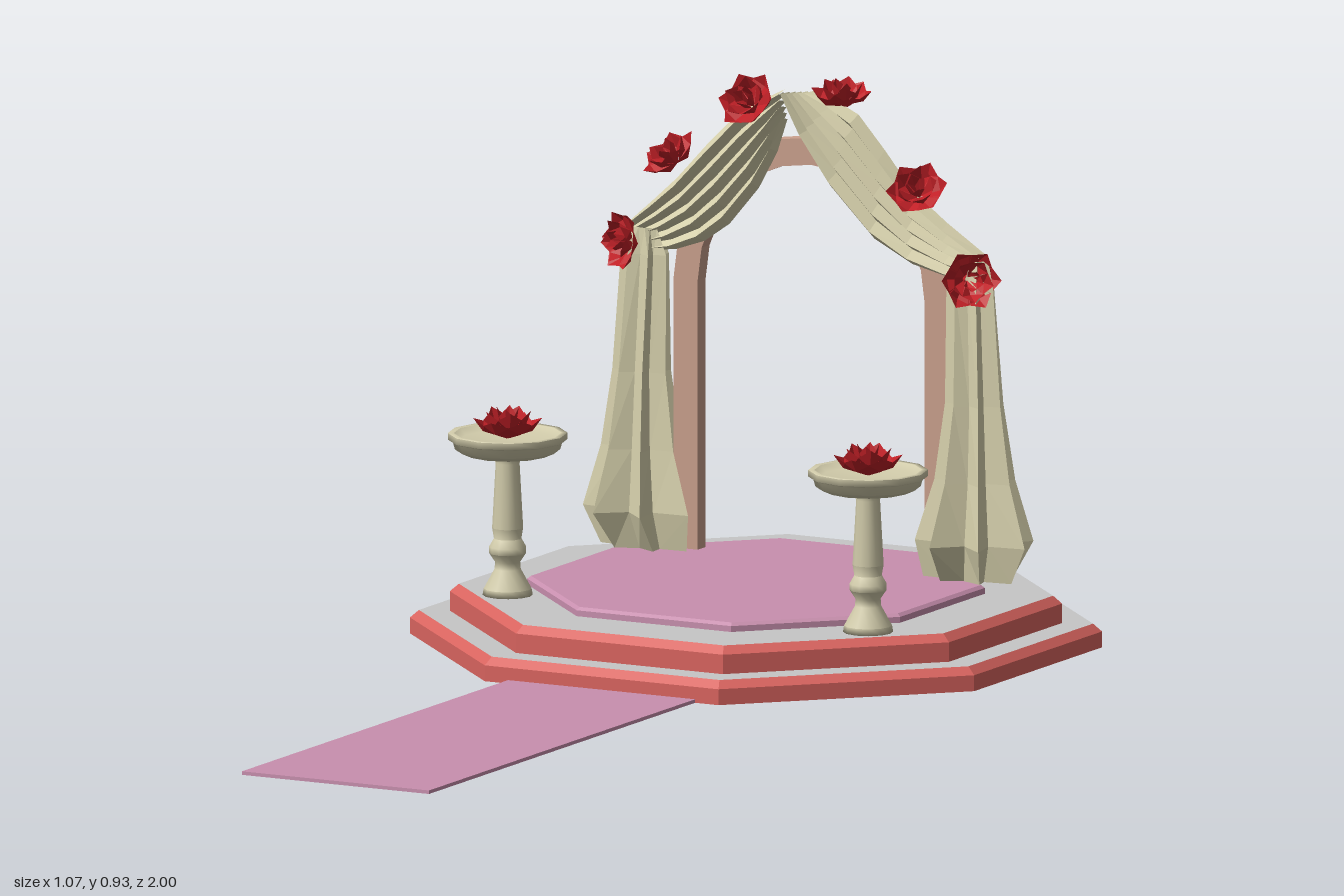
import * as THREE from 'three';

const mat = (name, color, flat = true) =>
  Object.assign(new THREE.MeshStandardMaterial({ color, flatShading: flat, side: THREE.DoubleSide }), { name });

// Grid surface: rows of [x, y, z] points, optionally closed around each row
function loft(rows, closed) {
  const n = rows[0].length, index = [];
  for (let i = 0; i < rows.length - 1; i++)
    for (let j = 0; j < (closed ? n : n - 1); j++) {
      const a = i * n + j, b = i * n + (j + 1) % n;
      index.push(a, a + n, b, b, a + n, b + n);
    }
  const g = new THREE.BufferGeometry();
  g.setAttribute('position', new THREE.Float32BufferAttribute(rows.flat(2), 3));
  g.setIndex(index);
  g.computeVertexNormals();
  return g;
}

const lathe = (pts, sides, start = 0) =>
  new THREE.LatheGeometry(pts.map(p => new THREE.Vector2(...p)), sides, start);

// Octagon given by its apothem, flat sides toward the axes
const octagon = pts => lathe(pts.map(([r, y]) => [r / Math.cos(Math.PI / 8), y]), 8, Math.PI / 8);

// Open blossom: three rings of pointed, creased petals
function roseGeometry() {
  const pos = [], v = new THREE.Vector3(), up = new THREE.Vector3(0, 1, 0);
  const rings = [[6, 0.055, 0.024, 0.030, 0], [5, 0.038, 0.019, 0.042, 0.5], [4, 0.018, 0.012, 0.046, 0.2]];
  for (const [count, reach, half, high, turn] of rings)
    for (let i = 0; i < count; i++) {
      const angle = (i + turn) / count * Math.PI * 2;
      const base = [0, 0, 0.003], mid = [0, high * 0.35, reach * 0.72], tip = [0, high, reach];
      const l = [-half, high * 0.72, reach * 0.68], r = [half, high * 0.72, reach * 0.68];
      for (const p of [base, mid, l, base, r, mid, mid, tip, l, mid, r, tip])
        pos.push(...v.set(...p).applyAxisAngle(up, angle).toArray());
    }
  const g = new THREE.BufferGeometry();
  g.setAttribute('position', new THREE.Float32BufferAttribute(pos, 3));
  g.computeVertexNormals();
  return g;
}

export function createModel() {
  const root = new THREE.Group();
  root.name = 'ceremonyArch';
  const red = mat('coral step', 0xd9645f), grey = mat('grey stone', 0xc6c6c6);
  const pink = mat('pink carpet', 0xc88fae), wood = mat('tan wood', 0xc99f8c);
  const cloth = mat('cream cloth', 0xd6d0ac), rose = mat('rose red', 0xc01f26);
  const stone = mat('cream stone', 0xd2ccab, false);

  const add = (name, geo, material, x = 0, y = 0, z = 0) => {
    const m = new THREE.Mesh(geo, material);
    m.name = name;
    m.position.set(x, y, z);
    root.add(m);
    return m;
  };

  // Two hollow octagonal steps with chamfered coral sides and grey tops
  const cz = -0.463;
  add('lowerStepSide', octagon([[0.537, 0], [0.537, 0.027], [0.523, 0.04]]), red, 0, 0, cz);
  add('lowerStepTop', octagon([[0.523, 0.04], [0.475, 0.04]]), grey, 0, 0, cz);
  add('upperStepSide', octagon([[0.475, 0.04], [0.475, 0.073], [0.461, 0.086]]), red, 0, 0, cz);
  add('upperStepTop', octagon([[0.461, 0.086], [0, 0.086]]), grey, 0, 0, cz);

  // Carpets
  add('platformCarpet', octagon([[0.355, 0.087], [0.355, 0.097], [0.349, 0.102], [0, 0.102]]), pink, 0, 0, cz);
  add('aisleCarpet', new THREE.BoxGeometry(0.356, 0.006, 1.3), pink, 0, 0.003, 0.35);

  // Round-topped wooden arch
  const arch = new THREE.Shape();
  const spring = 0.56, outer = 0.262, inner = 0.216, steps = 12;
  arch.moveTo(outer, 0.1);
  for (let i = 0; i <= steps; i++) {
    const a = i / steps * Math.PI;
    arch.lineTo(outer * Math.cos(a), spring + outer * Math.sin(a));
  }
  arch.lineTo(-outer, 0.1);
  arch.lineTo(-inner, 0.1);
  for (let i = steps; i >= 0; i--) {
    const a = i / steps * Math.PI;
    arch.lineTo(inner * Math.cos(a), spring + inner * Math.sin(a));
  }
  arch.lineTo(inner, 0.1);
  add('woodenArch', new THREE.ExtrudeGeometry(arch, { depth: 0.028, bevelEnabled: false }), wood, 0, 0, -0.683);

  // Swags: pleated sheets between an upper and a lower edge
  const curve = pts => new THREE.CatmullRomCurve3(pts.map(([x, y]) => new THREE.Vector3(x, y, 0)));
  const swag = (name, top, bottom) => {
    const a = curve(top), b = curve(bottom), rows = [];
    for (let i = 0; i <= 6; i++) {
      const p = a.getPoint(i / 6), q = b.getPoint(i / 6), row = [];
      for (let j = 0; j <= 10; j++) {
        const t = p.clone().lerp(q, j / 10);
        row.push([t.x, t.y, -0.645 + (j % 2 ? 0.012 : -0.01)]);
      }
      rows.push(row);
    }
    add(name, loft(rows, false), cloth);
  };
  swag('rightSwag',
    [[-0.05, 0.9], [-0.14, 0.85], [-0.256, 0.73], [-0.345, 0.65]],
    [[-0.045, 0.85], [-0.077, 0.764], [-0.155, 0.662], [-0.228, 0.617], [-0.315, 0.602]]);
  swag('leftSwag',
    [[0.004, 0.902], [0.09, 0.87], [0.193, 0.75], [0.33, 0.655]],
    [[-0.053, 0.895], [0.004, 0.787], [0.12, 0.662], [0.23, 0.614], [0.335, 0.605]]);

  // Side curtains: star-shaped folds that flare and tuck in at the hem
  // Each ring: height, centre x, half width, half depth, fold depth
  const rings = [[0.645, 0.315, 0.03, 0.016, 0.8], [0.6, 0.31, 0.045, 0.026, 0.6], [0.4, 0.317, 0.053, 0.04, 0.55],
    [0.27, 0.318, 0.072, 0.06, 0.5], [0.165, 0.317, 0.105, 0.09, 0.45], [0.102, 0.307, 0.085, 0.045, 0.5]];
  for (const s of [-1, 1]) {
    const rows = rings.map(([y, x, w, d, fold]) => Array.from({ length: 14 }, (_, k) => {
      const a = (k + 0.4) / 14 * Math.PI * 2, r = k % 2 ? fold : 1;
      return [s * (x + w * r * Math.cos(a)), y, -0.645 + d * r * Math.sin(a)];
    }));
    add(s > 0 ? 'leftCurtain' : 'rightCurtain', loft(rows, true), cloth);
  }

  // Turned pedestals with shallow bowls
  const profile = [[0, 0.086], [0.042, 0.086], [0.04, 0.097], [0.022, 0.13], [0.021, 0.142], [0.031, 0.157],
    [0.031, 0.168], [0.023, 0.182], [0.026, 0.2], [0.02, 0.31], [0.026, 0.325], [0.07, 0.325], [0.088, 0.333],
    [0.092, 0.347], [0.1, 0.35], [0.1, 0.361], [0.09, 0.361], [0.08, 0.35], [0, 0.348]];
  // Split into pieces at the hard edges so they stay sharp
  const pieces = [[0, 2], [1, 5], [4, 7], [6, 8], [7, 10], [10, 12], [11, 14], [13, 15], [14, 16], [15, 18]];
  const roseGeo = roseGeometry();
  for (const x of [-0.343, 0.343]) {
    for (const [a, b] of pieces) add('pedestal', lathe(profile.slice(a, b + 1), 12), stone, x, 0, -0.226);
    add('bowlRose', roseGeo, rose, x, 0.352, -0.226).scale.set(1.05, 1.15, 1.05);
  }

  // Roses along the swags: position and facing direction
  const garland = [[-0.33, 0.62, -0.635, -0.5, 0.1, 0.8], [-0.245, 0.76, -0.635, -0.4, 0.9, 0.6],
    [-0.1, 0.87, -0.635, -0.1, 0.6, 0.8], [0.065, 0.885, -0.643, 0.05, 1, 0.15],
    [0.215, 0.745, -0.637, 0.2, 0.7, 0.7], [0.31, 0.615, -0.63, 0.7, 0.05, 0.7]];
  garland.forEach(([x, y, z, ...d], i) => {
    const m = add('swagRose', roseGeo, rose, x, y, z);
    m.quaternion.setFromUnitVectors(new THREE.Vector3(0, 1, 0), new THREE.Vector3(...d).normalize());
    m.rotateY(i * 1.3);
    m.scale.setScalar(0.95);
  });
  return root;
}
